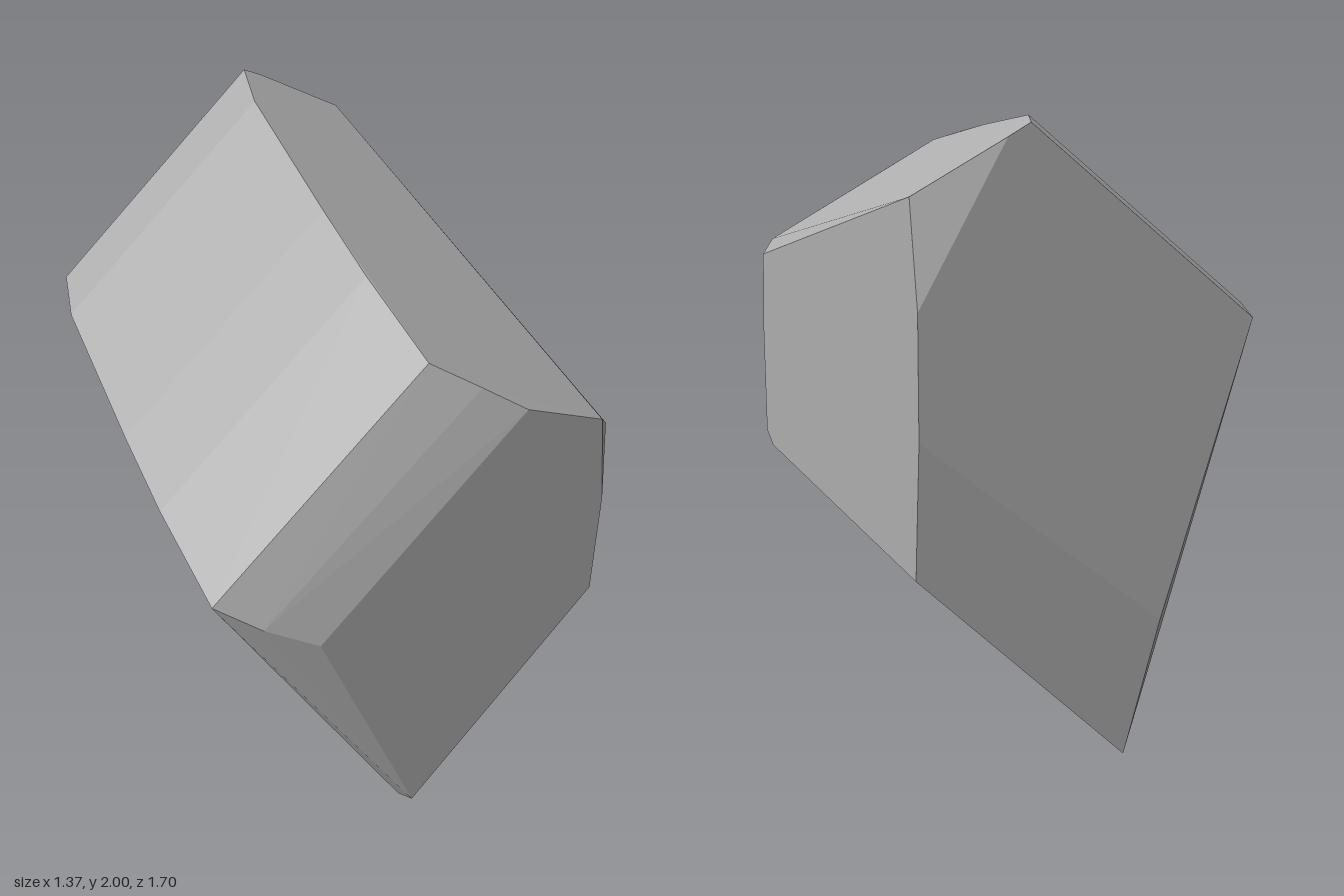
import * as THREE from 'three';
import { ConvexGeometry } from 'three/addons/geometries/ConvexGeometry.js';

// A single faceted stone block: a tilted box whose ends are bevelled.
export function createModel() {
  const stoneGrey = new THREE.MeshStandardMaterial({ color: 0xb0b0b0 });
  const points = [];
  const add = (...list) => list.forEach(p => points.push(new THREE.Vector3(...p)));

  // Upper-left slope: a gently curved edge swept across the slope
  const slope = [0.735, 0.615];
  const ridge = [
    [0.05, 1.8, 0.73], [0.09, 1.868, 0.33], [0.14, 1.918, 0],
    [0.25, 2.0, -0.62], [0.34, 2.0, -0.85],
  ];
  for (const [x, y, z] of ridge) add([x, y, z], [x - slope[0], y - slope[1], z]);

  // Front bevel and front face
  add([0.2, 1.7, 0.8], [-0.55, 1.085, 0.8], [0.34, 1.6, 0.85], [-0.38, 0.98, 0.85],
    [0.64, 1.45, 0.85], [0.685, 1.12, 0.85], [0.685, 0.73, 0.85], [0, 0.07, 0.85]);

  // Right side corners
  add([0.685, 1.4, 0.82], [0.685, 1.8, -0.79], [0.685, 1.48, -0.847],
    [0.685, 1.1, -0.843], [0.685, 0.67, -0.8], [0.685, 0.69, 0.77]);

  // Back bevel and bottom edge
  add([0.41, 1.962, -0.85], [-0.1, 0.45, -0.843], [0, 0, -0.8], [0, 0.02, 0.77]);

  const stone = new THREE.Mesh(new ConvexGeometry(points), stoneGrey);
  stone.name = 'stone';

  const group = new THREE.Group();
  group.name = 'stoneBlock';
  group.add(stone);
  return group;
}
